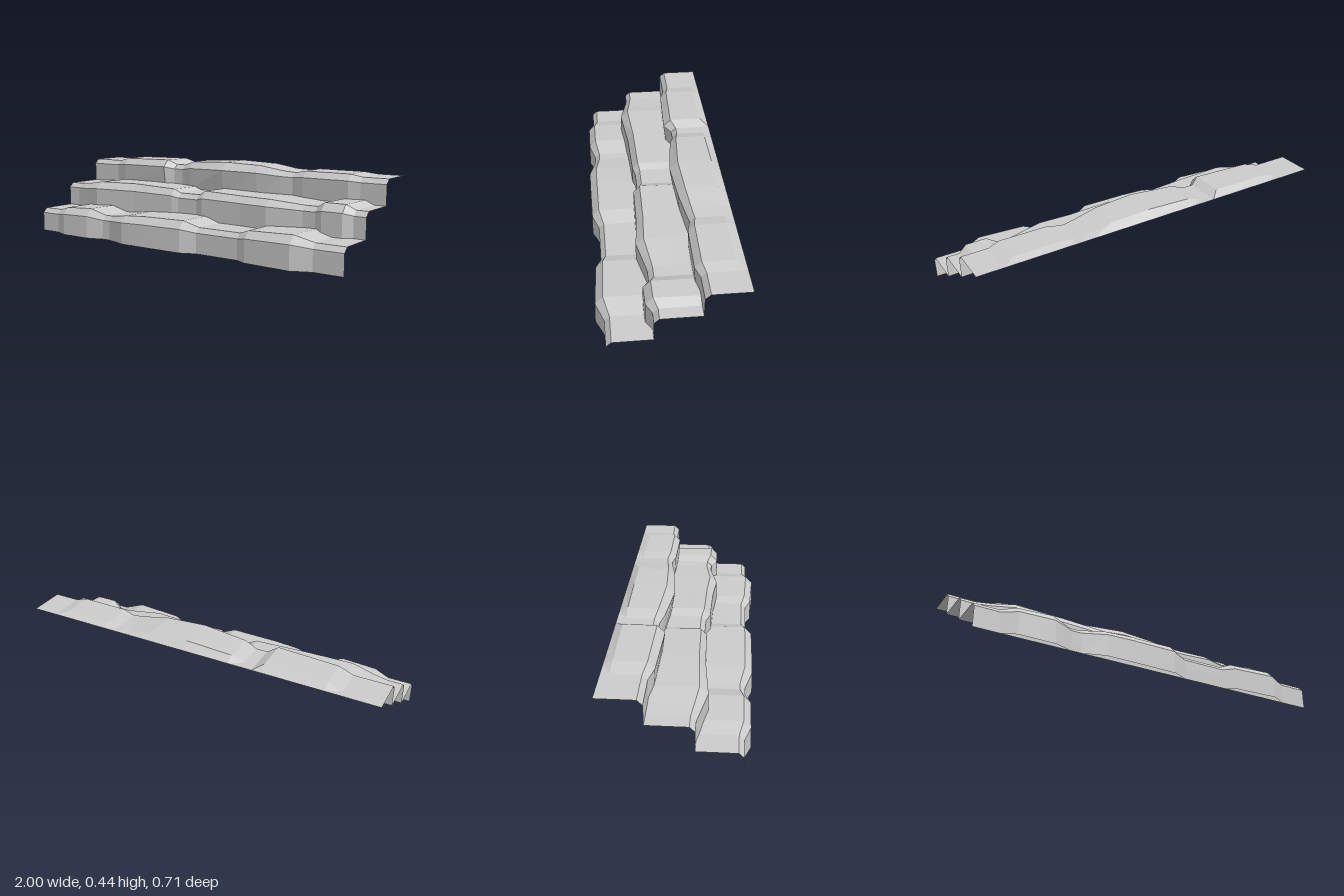
import * as THREE from 'three';

const material = new THREE.MeshStandardMaterial({
  color: 0xcccccc, flatShading: true, side: THREE.DoubleSide,
});

// Each step: riser z, foot y, tread y, back z of the tread,
// foot = share of the bulge kept at the riser's foot, mid / end = [z, share of the lift] along the tread,
// stones = [x, forward bulge, upward lift]
const steps = [
  {
    z: 0.312, y0: 0, y1: 0.135, foot: 1.08, mid: [0.2, 0.97], end: [0.09, 0.9],
    stones: [
      [-0.87, 0, 0], [-0.79, 0.03, 0.022], [-0.6, 0.03, 0.032], [-0.5, 0, 0],
      [-0.45, 0, 0], [-0.32, 0.037, 0.018], [-0.18, 0.037, 0.026], [0.08, 0.034, 0.03], [0.165, 0, 0],
      [0.42, 0, 0], [0.48, 0.028, 0.021], [0.74, 0.041, 0.03], [0.84, 0, 0],
    ],
  },
  {
    z: 0.091, y0: 0.135, y1: 0.269, foot: 1, mid: [-0.03, 0.9], end: [-0.137, 0.8],
    stones: [
      [-0.92, 0, 0], [-0.83, 0.02, 0.008], [-0.72, 0.046, 0.026], [-0.45, 0.02, 0.03],
      [-0.17, 0.012, 0.02], [-0.13, 0, 0], [0.0, 0, 0], [0.05, 0.022, 0.026],
      [0.3, 0.026, 0.018], [0.47, 0.042, 0.017], [0.66, 0, 0], [0.73, 0, 0],
      [0.78, 0.032, 0.026], [0.89, 0.03, 0.026], [0.935, 0, 0],
    ],
  },
  {
    z: -0.137, y0: 0.269, y1: 0.402, foot: 0.6, mid: [-0.31, 1], end: [-0.355, 0],
    stones: [
      [-0.8, 0, 0], [-0.72, 0.025, 0.019], [-0.39, 0.04, 0.026], [-0.34, 0, 0],
      [-0.28, 0, 0], [-0.21, 0.022, 0.023], [0.04, 0.053, 0.035], [0.26, 0.035, 0.028], [0.4, 0.012, 0.006],
      [0.47, 0, 0], [0.54, 0.018, 0.013], [0.8, 0.022, 0.013], [0.86, 0, 0],
    ],
  },
];

// Cross-section of one step from the riser's foot to the back of the tread
function section(s, x, dz, dy) {
  return [
    [x, s.y0, s.z + dz * s.foot],
    [x, s.y1 - 0.026 + dy * 0.5, s.z + dz],
    [x, s.y1 + dy, s.z - 0.026 + dz * 0.65],
    [x, s.y1 + dy * s.mid[1], s.mid[0]],
    [x, s.y1 + dy * s.end[1], s.end[0]],
  ];
}

// Surface between neighbouring cross-sections, leaving out those where keep() is false
function loft(rows, keep = () => true) {
  const index = [];
  const n = rows[0].length;
  for (let i = 0; i < rows.length - 1; i++) {
    if (!keep(i)) continue;
    for (let j = 0; j < n - 1; j++) {
      const a = i * n + j, b = a + n;
      index.push(a, b, b + 1, a, b + 1, a + 1);
    }
  }
  const geometry = new THREE.BufferGeometry();
  geometry.setAttribute('position', new THREE.Float32BufferAttribute(rows.flat(2), 3));
  geometry.setIndex(index);
  geometry.computeVertexNormals();
  return geometry;
}

function add(group, name, geometry) {
  const mesh = new THREE.Mesh(geometry, material);
  mesh.name = name;
  group.add(mesh);
}

export function createModel() {
  const group = new THREE.Group();
  group.name = 'rockySteps';

  // Plain folded sheet running the full width
  const ends = [-1, 1].map((x) => steps.flatMap((s, i) => section(s, x, 0, 0).slice(i ? 1 : 0)
    .filter((p, j, all) => j !== all.length - 2)));
  // Keep each riser's foot directly under its own face
  add(group, 'stairSheet', loft(ends));

  // Worn stones bulging out of each step
  steps.forEach((s, k) => {
    const rows = s.stones.map(([x, dz, dy]) => section(s, x, dz, dy));
    const bulges = (i) => s.stones[i][1] > 0 || s.stones[i + 1][1] > 0;
    add(group, `stepStones${k + 1}`, loft(rows, bulges));
  });
  return group;
}
